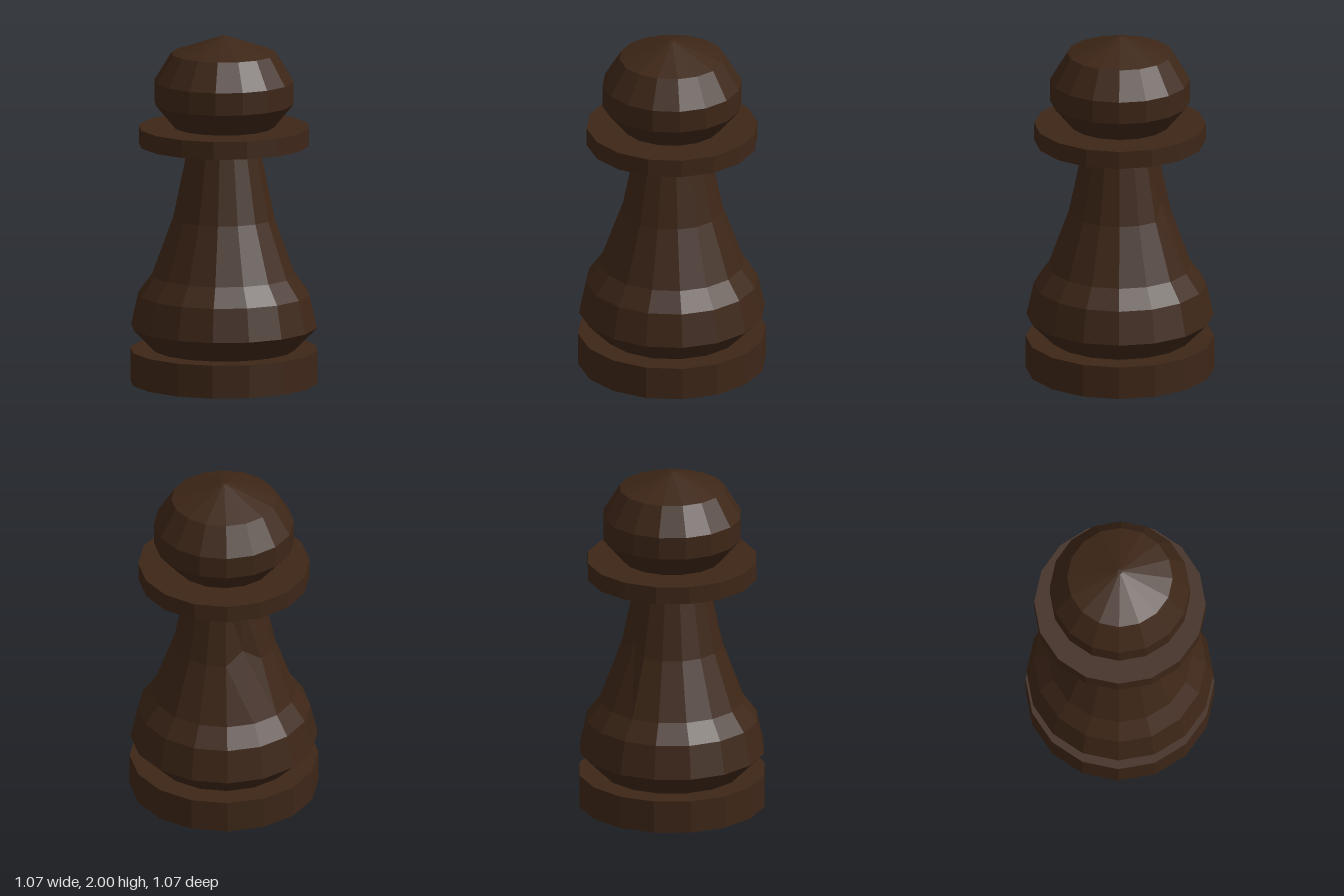
import * as THREE from 'three';

const SIDES = 16;

export function createModel() {
  const group = new THREE.Group();
  group.name = 'pawn';
  const wood = new THREE.MeshStandardMaterial({ color: 0x3d2617, flatShading: true });

  // Turns a [radius, height] profile, listed from bottom to top
  function turn(name, profile) {
    const points = profile.map(([r, y]) => new THREE.Vector2(r, y));
    const mesh = new THREE.Mesh(new THREE.LatheGeometry(points, SIDES), wood);
    mesh.name = name;
    group.add(mesh);
    return mesh;
  }

  turn('base', [[0, 0], [0.537, 0], [0.537, 0.19], [0, 0.19]]);

  const body = turn('body', [
    [0.405, 0.19], [0.532, 0.32], [0.49, 0.51], [0.41, 0.62], [0.29, 0.95], [0.205, 1.36],
  ]);

  // Slight dent at the back of the neck
  const pos = body.geometry.attributes.position;
  for (let i = 0; i < pos.count; i++) {
    const atBack = Math.abs(pos.getX(i)) < 0.01 && pos.getZ(i) < 0;
    if (atBack && Math.abs(pos.getY(i) - 0.95) < 0.01) pos.setXYZ(i, 0, 1.02, -0.252);
  }
  body.geometry.computeVertexNormals();

  turn('collar', [[0, 1.355], [0.205, 1.355], [0.488, 1.372], [0.488, 1.475], [0, 1.475]]);

  turn('head', [
    [0.285, 1.475], [0.398, 1.61], [0.398, 1.74], [0.3, 1.9], [0.014, 2], [0, 2],
  ]);

  return group;
}
